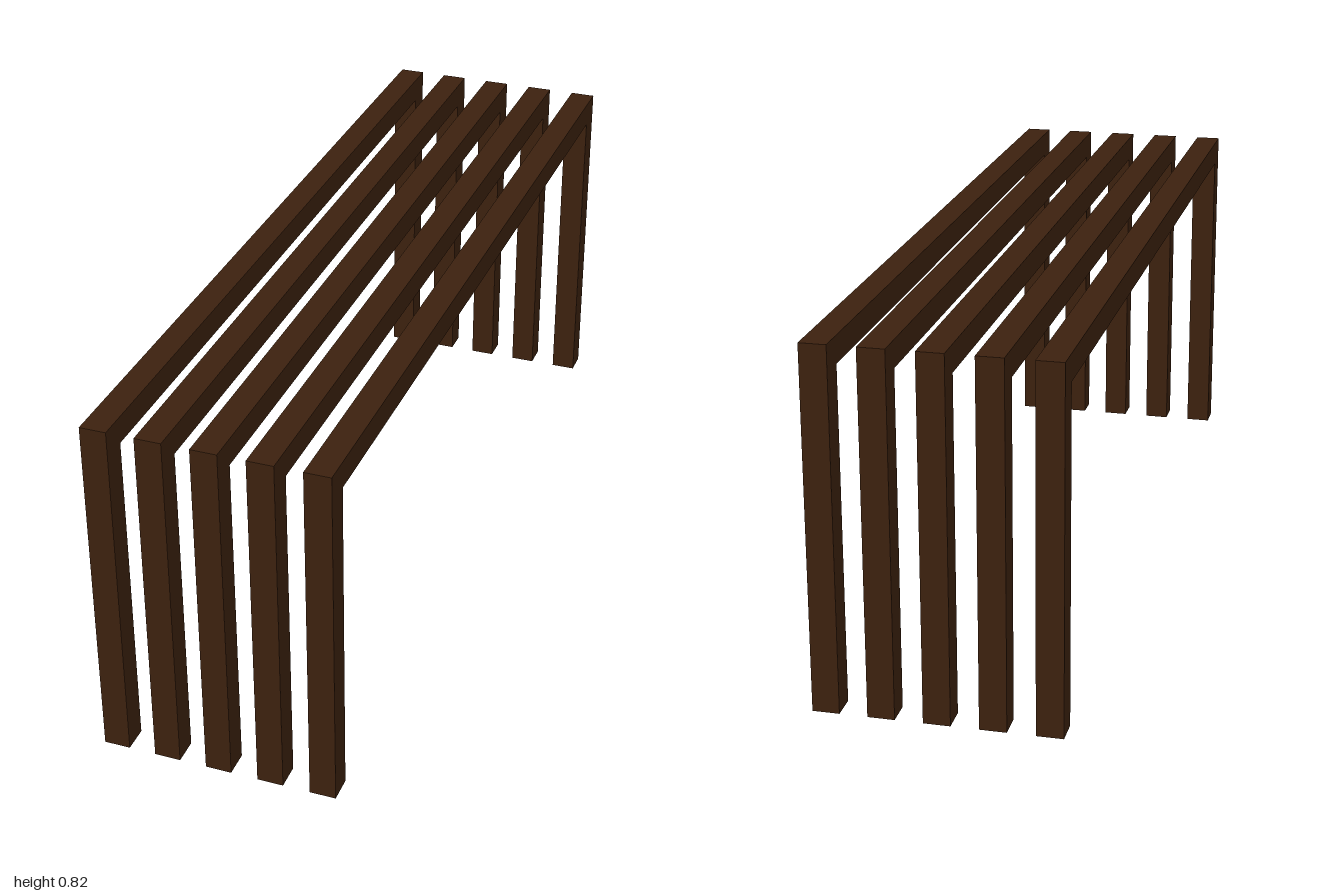
import * as THREE from 'three';

const LENGTH = 2, HEIGHT = 0.825, BAR = 0.06, PITCH = 0.122, COUNT = 5;

// Bridge-shaped outline of one slat: two legs joined by a top rail
function slatShape() {
  const h = LENGTH / 2, i = h - BAR, t = HEIGHT - BAR;
  return new THREE.Shape(
    [[-h, 0], [-i, 0], [-i, t], [i, t], [i, 0], [h, 0], [h, HEIGHT], [-h, HEIGHT]]
      .map(([x, y]) => new THREE.Vector2(x, y))
  );
}

export function createModel() {
  const bench = new THREE.Group();
  bench.name = 'slattedBench';

  const darkWood = new THREE.MeshStandardMaterial({ color: 0x3c210e });
  darkWood.name = 'darkWood';

  // Profile runs along z, thickness along x
  const geometry = new THREE.ExtrudeGeometry(slatShape(), { depth: BAR, bevelEnabled: false });
  geometry.translate(0, 0, -BAR / 2);
  geometry.rotateY(Math.PI / 2);

  // Evenly spaced row of slat frames
  for (let n = 0; n < COUNT; n++) {
    const slat = new THREE.Mesh(geometry, darkWood);
    slat.name = `slatFrame${n + 1}`;
    slat.position.x = (n - (COUNT - 1) / 2) * PITCH;
    bench.add(slat);
  }
  return bench;
}
